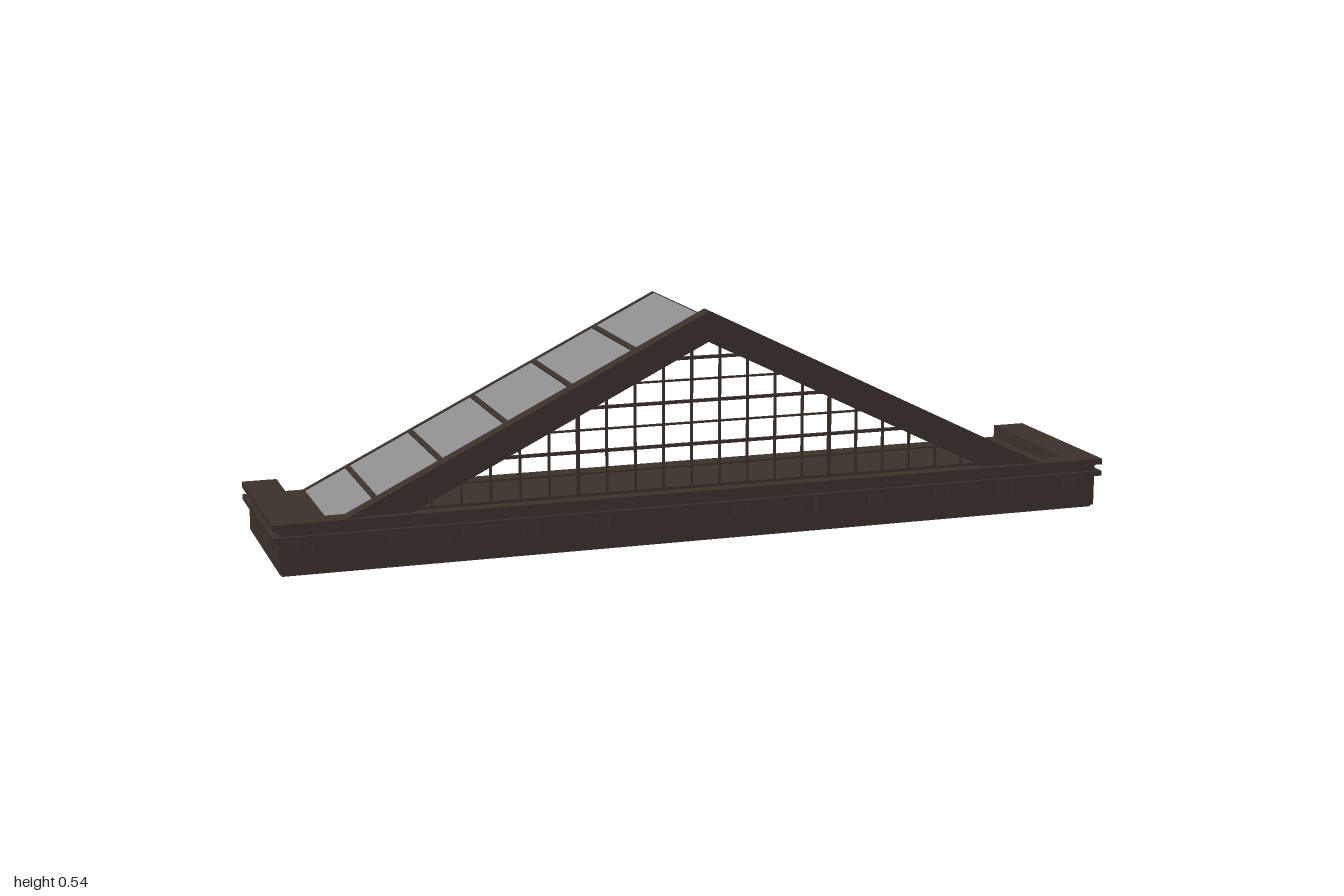
import * as THREE from 'three';

const SLOPE = 0.494;
const FLOOR = 0.097;

export function createModel() {
  const model = new THREE.Group();
  model.name = 'glazedGable';
  const wood = new THREE.MeshStandardMaterial({ color: 0x3a302a });
  const glass = new THREE.MeshStandardMaterial({ color: 0x8c8c8c, side: THREE.DoubleSide });

  function add(geometry, name, material = wood) {
    const mesh = new THREE.Mesh(geometry, material);
    mesh.name = name;
    model.add(mesh);
    return mesh;
  }

  // Box given by its extents
  function box(name, x0, x1, y0, y1, z0, z1) {
    const mesh = add(new THREE.BoxGeometry(x1 - x0, y1 - y0, z1 - z0), name);
    mesh.position.set((x0 + x1) / 2, (y0 + y1) / 2, (z0 + z1) / 2);
    return mesh;
  }

  // Inverted V of a given vertical thickness, standing on the floor
  function chevron(name, apex, thick, z0, z1, material) {
    const outer = (apex - FLOOR) / SLOPE;
    const inner = (apex - thick - FLOOR) / SLOPE;
    const shape = new THREE.Shape([
      new THREE.Vector2(-outer, FLOOR), new THREE.Vector2(-inner, FLOOR),
      new THREE.Vector2(0, apex - thick), new THREE.Vector2(inner, FLOOR),
      new THREE.Vector2(outer, FLOOR), new THREE.Vector2(0, apex),
    ]);
    const geometry = new THREE.ExtrudeGeometry(shape, { depth: z1 - z0, bevelEnabled: false });
    geometry.translate(0, 0, z0);
    return add(geometry, name, material);
  }

  // Base beam, its bottom plate and the rear flange
  box('baseBeam', -0.985, 0.985, 0.012, FLOOR, -0.21, 0.208);
  box('bottomPlate', -0.98, 0.98, 0.007, 0.012, -0.208, 0.202);
  const flange = new THREE.Shape([
    new THREE.Vector2(0.18, 0), new THREE.Vector2(0.207, 0),
    new THREE.Vector2(0.215, 0.011), new THREE.Vector2(0.18, 0.011),
  ]);
  const flangeGeometry = new THREE.ExtrudeGeometry(flange, { depth: 1.3, bevelEnabled: false });
  flangeGeometry.translate(0, 0, -0.65);
  add(flangeGeometry, 'rearFlange').rotation.y = Math.PI / 2;

  // Cornice around the front and both ends: lower band, recess, top band
  const bands = [
    ['lowerCornice', 0.085, FLOOR, 1, 0.217],
    ['corniceRecess', FLOOR, 0.113, 0.985, 0.208],
    ['upperCornice', 0.113, 0.127, 1, 0.217],
  ];
  for (const [name, y0, y1, x, z] of bands) {
    box(name + 'Front', -x, x, y0, y1, 0.165, z);
    box(name + 'Left', 0.92, x, y0, y1, -0.21, 0.165);
    box(name + 'Right', -x, -0.92, y0, y1, -0.21, 0.165);
  }
  box('cornerBlock', 0.79, 0.87, FLOOR, 0.127, 0.14, 0.165);

  // Paired dentils under the cornice
  for (let i = 0; i < 12; i++) {
    const x = (i - 5.5) * 0.1675;
    for (const d of [-0.016, 0.016]) {
      box('frontDentil', x + d - 0.006, x + d + 0.006, 0.06, 0.085, 0.2, 0.215);
    }
  }
  for (const side of [-1, 1]) {
    for (const z of [0.153, 0.122, -0.015, -0.046]) {
      const mesh = box('endDentil', -0.007, 0.007, 0.06, 0.085, z - 0.006, z + 0.006);
      mesh.position.x = side * 0.988;
    }
  }

  // Gable frames
  chevron('frontGableMoulding', 0.54, 0.022, 0.17, 0.208);
  chevron('frontGableFrame', 0.525, 0.057, 0.17, 0.201);
  chevron('backGableFrame', 0.522, 0.05, -0.21, -0.196);

  // Glass roof with ribs across each slope
  chevron('glassRoof', 0.52, 0.005, -0.196, 0.17, glass);
  const angle = Math.atan(SLOPE);
  for (const side of [-1, 1]) {
    for (let i = 1; i <= 5; i++) {
      const x = i * 0.151;
      const rib = box('roofRib', -0.006, 0.006, -0.006, 0.006, -0.196, 0.17);
      rib.position.x = side * x;
      rib.position.y = 0.518 - SLOPE * x;
      rib.rotation.z = -side * angle;
    }
  }

  // Lattice filling the front gable
  const INNER = 0.472;
  for (let i = 0; i < 11; i++) {
    const x = (i + 0.5) * 0.0675;
    const w = i === 4 ? 0.004 : 0.0025;
    const top = INNER - SLOPE * x;
    if (top < FLOOR + 0.01) continue;
    for (const s of [-1, 1]) {
      box('latticeUpright', s * x - w, s * x + w, FLOOR, top, 0.178, 0.185);
    }
  }
  for (let i = 0; i < 7; i++) {
    const y = 0.13 + i * 0.05;
    const half = (INNER - y) / SLOPE;
    const h = i % 2 === 0 ? 0.0035 : 0.002;
    box('latticeRail', -half, half, y - h, y + h, 0.176, 0.183);
  }

  return model;
}
